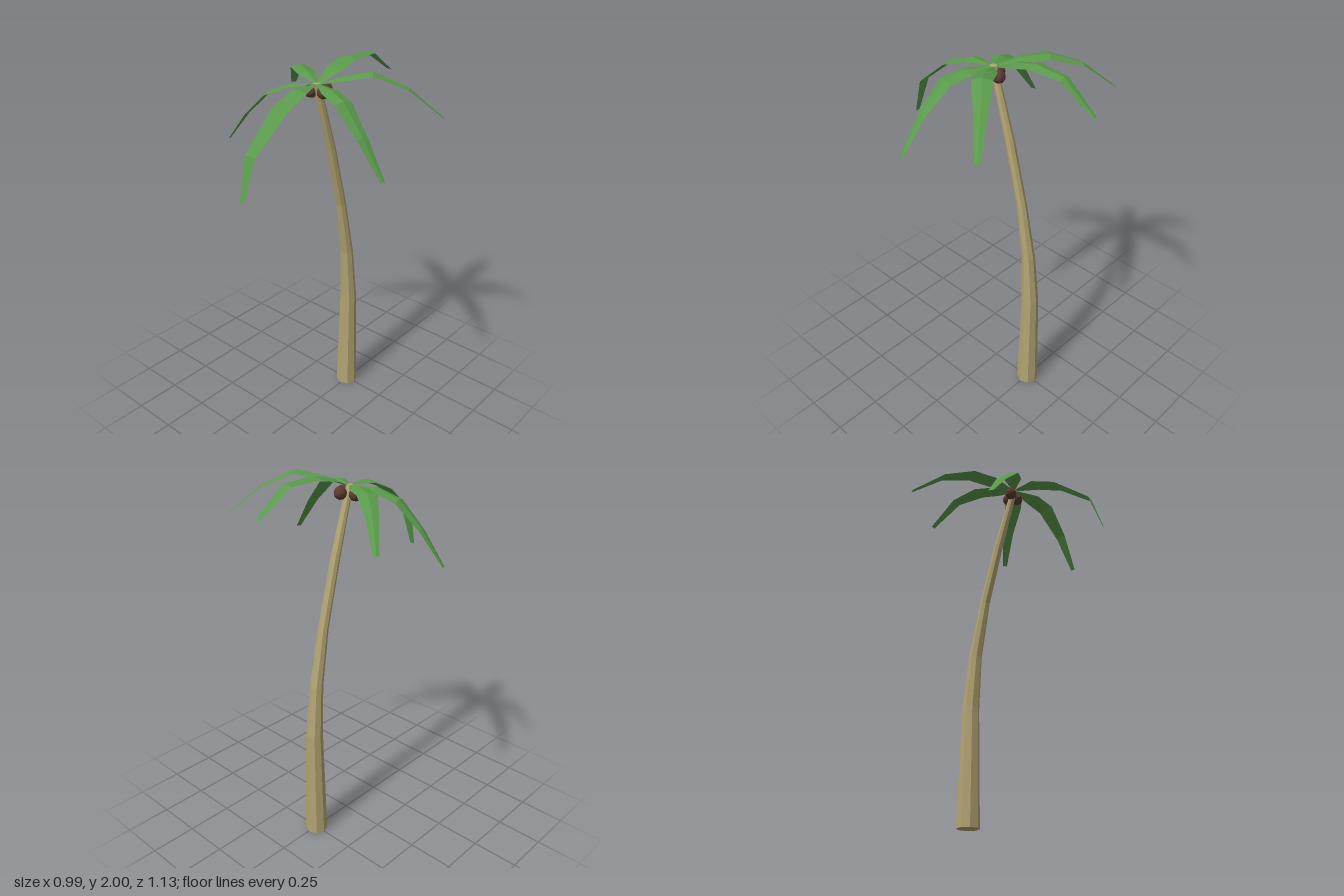
import * as THREE from 'three';

const mat = (color, side = THREE.FrontSide) =>
  new THREE.MeshStandardMaterial({ color, side, flatShading: true });

// Eight-sided trunk: each ring is [y, z, radius]
function trunkGeometry() {
  const rings = [
    [0, -0.25, 0.06], [0.62, -0.25, 0.045], [0.91, -0.228, 0.035],
    [1.22, -0.172, 0.027], [1.56, -0.085, 0.025], [1.915, 0.022, 0.018],
  ];
  const geo = new THREE.CylinderGeometry(1, 1, rings.length - 1, 8, rings.length - 1);
  const p = geo.attributes.position;
  for (let i = 0; i < p.count; i++) {
    const [y, z, r] = rings[Math.round(p.getY(i) + (rings.length - 1) / 2)];
    p.setXYZ(i, p.getX(i) * r - 0.004, y, p.getZ(i) * r + z);
  }
  geo.computeVertexNormals();
  return geo;
}

// Frond: a strip swept along its midrib, slightly folded down at both edges
function frondGeometry(spine) {
  const halfWidths = [0.01, 0.047, 0.048, 0.031, 0.013];
  const folds = [0.002, 0.012, 0.012, 0.008, 0.003];
  const tip = spine[spine.length - 1];
  const across = new THREE.Vector3(tip[2] - 0.022, 0, -tip[0]).normalize();
  const pos = [], index = [];
  spine.forEach(([x, y, z], i) => {
    for (const s of [-1, 0, 1]) {
      const w = s * halfWidths[i];
      pos.push(x + across.x * w, y + (s ? -folds[i] : 0), z + across.z * w);
    }
    if (i === 0) return;
    for (const k of [0, 1]) {
      const a = (i - 1) * 3 + k, b = a + 1, c = a + 3, d = a + 4;
      index.push(a, c, b, b, c, d);
    }
  });
  const geo = new THREE.BufferGeometry();
  geo.setAttribute('position', new THREE.Float32BufferAttribute(pos, 3));
  geo.setIndex(index);
  geo.computeVertexNormals();
  return geo;
}

export function createModel() {
  const group = new THREE.Group();
  const add = (name, geo, material, parent = group) => {
    const mesh = new THREE.Mesh(geo, material);
    mesh.name = name;
    parent.add(mesh);
    return mesh;
  };

  add('trunk', trunkGeometry(), mat(0xb3a473));

  // Midrib points of each frond after the shared root
  const fronds = {
    frontFrond: [[0.005, 1.917, 0.159], [0.012, 1.86, 0.3], [0.016, 1.697, 0.495], [0.02, 1.492, 0.561]],
    backFrond: [[-0.006, 1.968, -0.103], [-0.012, 1.998, -0.222], [-0.01, 1.991, -0.39], [-0.009, 1.865, -0.567]],
    backLeftFrond: [[0.108, 1.955, -0.048], [0.216, 1.98, -0.123], [0.342, 1.905, -0.237], [0.476, 1.76, -0.348]],
    backRightFrond: [[-0.123, 1.938, -0.045], [-0.237, 1.94, -0.114], [-0.36, 1.89, -0.222], [-0.487, 1.757, -0.335]],
    frontLeftFrond: [[0.12, 1.92, 0.072], [0.225, 1.895, 0.105], [0.36, 1.762, 0.129], [0.488, 1.587, 0.139]],
    frontRightFrond: [[-0.117, 1.908, 0.087], [-0.222, 1.863, 0.13], [-0.348, 1.735, 0.157], [-0.473, 1.573, 0.174]],
  };
  const crown = new THREE.Group();
  crown.name = 'crown';
  group.add(crown);
  const leaf = mat(0x5a9a4b, THREE.DoubleSide);
  for (const [name, points] of Object.entries(fronds)) {
    // Root lies on the rim of the trunk top, towards the first point
    const [x, , z] = points[0];
    const k = 0.016 / Math.hypot(x, z - 0.022);
    const root = [-0.004 + x * k, 1.915, 0.022 + (z - 0.022) * k];
    add(name, frondGeometry([root, ...points]), leaf, crown);
  }

  // Coconuts hanging under the crown
  const shell = mat(0x5a3a30);
  const nuts = [[-0.04, 1.872, 0.024], [0.034, 1.878, 0.018], [0.012, 1.88, -0.027]];
  nuts.forEach((at, i) => {
    const nut = add('coconut' + (i + 1), new THREE.IcosahedronGeometry(0.033, 1), shell);
    nut.position.set(...at);
    nut.rotation.set(i * 0.7, i * 1.3, 0);
  });

  return group;
}
